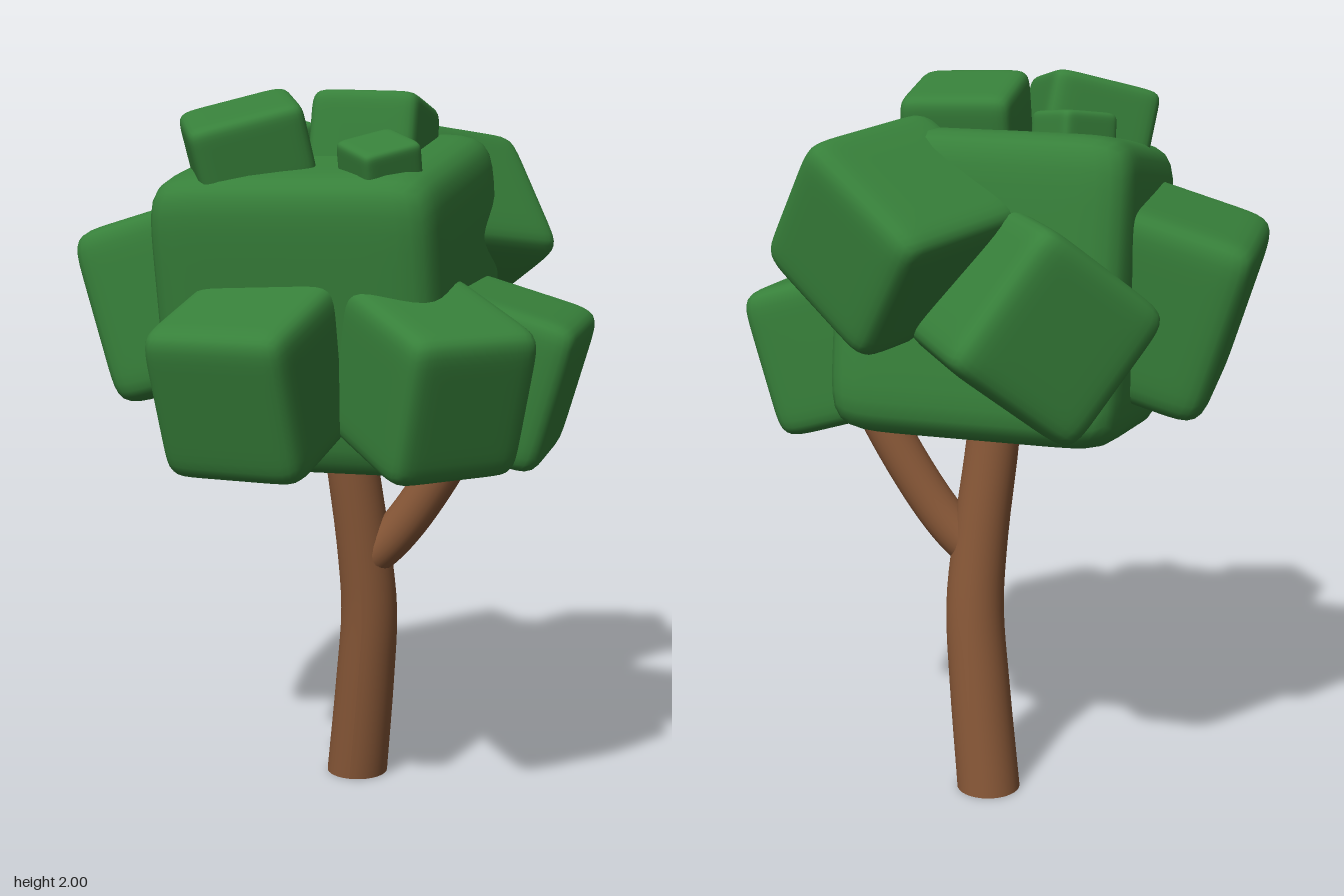
import * as THREE from 'three';

const leafGreen = new THREE.MeshStandardMaterial({ color: 0x37803a });
leafGreen.name = 'leafGreen';
const barkBrown = new THREE.MeshStandardMaterial({ color: 0x875737 });
barkBrown.name = 'barkBrown';

const curve = (points) => new THREE.CatmullRomCurve3(points.map((p) => new THREE.Vector3(...p)));

// Pillow-shaped box: a cube pulled onto a superquadric, with matching smooth normals
function pillowBox(size, power = 9) {
  const geometry = new THREE.BoxGeometry(2, 2, 2, 18, 18, 18);
  const { position, normal } = geometry.attributes;
  for (let i = 0; i < position.count; i++) {
    const p = [position.getX(i), position.getY(i), position.getZ(i)];
    const k = p.reduce((sum, c) => sum + Math.abs(c) ** power, 0) ** (-1 / power);
    position.setXYZ(i, ...p.map((c, a) => c * k * size[a] / 2));
    const n = p.map((c, a) => Math.sign(c) * Math.abs(c) ** (power - 1) / size[a]);
    const length = Math.hypot(...n);
    normal.setXYZ(i, ...n.map((c) => c / length));
  }
  return geometry;
}

// Leaf block; turn is [tilt, yaw, roll], applied as yaw, then tilt, then roll
function leafBlock(name, size, position, turn) {
  const mesh = new THREE.Mesh(pillowBox(size), leafGreen);
  mesh.name = name;
  mesh.position.set(...position);
  mesh.rotation.set(...turn, 'YXZ');
  return mesh;
}

// Tapered trunk: each ring of a unit cylinder slides onto the curve
function makeTrunk() {
  const path = curve([[0.022, 0, -0.171], [0.055, 0.3, -0.137], [0.073, 0.52, -0.112],
    [0.062, 0.72, -0.088], [0.032, 1, -0.057], [0.02, 1.2, -0.04]]);
  const geometry = new THREE.CylinderGeometry(0.07, 0.089, 1, 32, 20);
  const pos = geometry.attributes.position;
  for (let i = 0; i < pos.count; i++) {
    const p = path.getPoint(THREE.MathUtils.clamp(pos.getY(i) + 0.5, 0, 1));
    pos.setXYZ(i, pos.getX(i) + p.x, p.y, pos.getZ(i) + p.z);
  }
  geometry.computeVertexNormals();
  const trunk = new THREE.Mesh(geometry, barkBrown);
  trunk.name = 'trunk';
  return trunk;
}

export function createModel() {
  const tree = new THREE.Group();
  tree.name = 'tree';

  // Trunk and side branch
  tree.add(makeTrunk());
  const branchPath = curve([[0.06, 0.665, -0.085], [0.13, 0.725, -0.085], [0.215, 0.83, -0.082],
    [0.352, 1.06, -0.078], [0.41, 1.2, -0.075]]);
  const branch = new THREE.Mesh(new THREE.TubeGeometry(branchPath, 24, 0.061, 24), barkBrown);
  branch.name = 'branch';
  tree.add(branch);

  // Crown: one large block, blocks around its sides, smaller ones on top
  const crown = new THREE.Group();
  crown.name = 'crown';
  const q = Math.PI / 2;
  crown.add(
    leafBlock('mainCrown', [0.79, 0.81, 0.79], [-0.003, 1.432, -0.015], [0.14, -0.03, 0.02]),
    leafBlock('frontBlock', [0.4, 0.42, 0.47], [-0.086, 1.277, 0.41], [0.3, -0.15, 0.02]),
    leafBlock('frontLeftBlock', [0.38, 0.41, 0.44], [0.343, 1.272, 0.325], [0.28, 0.78, 0]),
    leafBlock('leftBlock', [0.41, 0.42, 0.43], [0.448, 1.252, -0.027], [0.28, q, 0.04]),
    leafBlock('rightBlock', [0.52, 0.5, 0.48], [-0.41, 1.425, -0.037], [0.3, -q, 0.06]),
    leafBlock('backRightBlock', [0.43, 0.43, 0.44], [-0.145, 1.4, -0.385], [0.05, -2.58, -0.65]),
    leafBlock('backLeftBlock', [0.43, 0.41, 0.44], [0.218, 1.615, -0.375], [0.13, 2.61, -0.63]),
    leafBlock('topBlock', [0.3, 0.29, 0.31], [0.095, 1.835, -0.065], [-0.2, 0, -0.02]),
    leafBlock('topFrontBlock', [0.31, 0.21, 0.31], [-0.182, 1.855, 0.2], [0.16, 0.46, 0.25]),
    leafBlock('smallFrontBlock', [0.17, 0.13, 0.17], [0.2, 1.812, 0.267], [0.22, 0.8, 0.22]),
    leafBlock('smallBackBlock', [0.17, 0.14, 0.17], [-0.2, 1.84, -0.125], [0.1, 0.8, 0.12]),
  );
  tree.add(crown);
  return tree;
}
